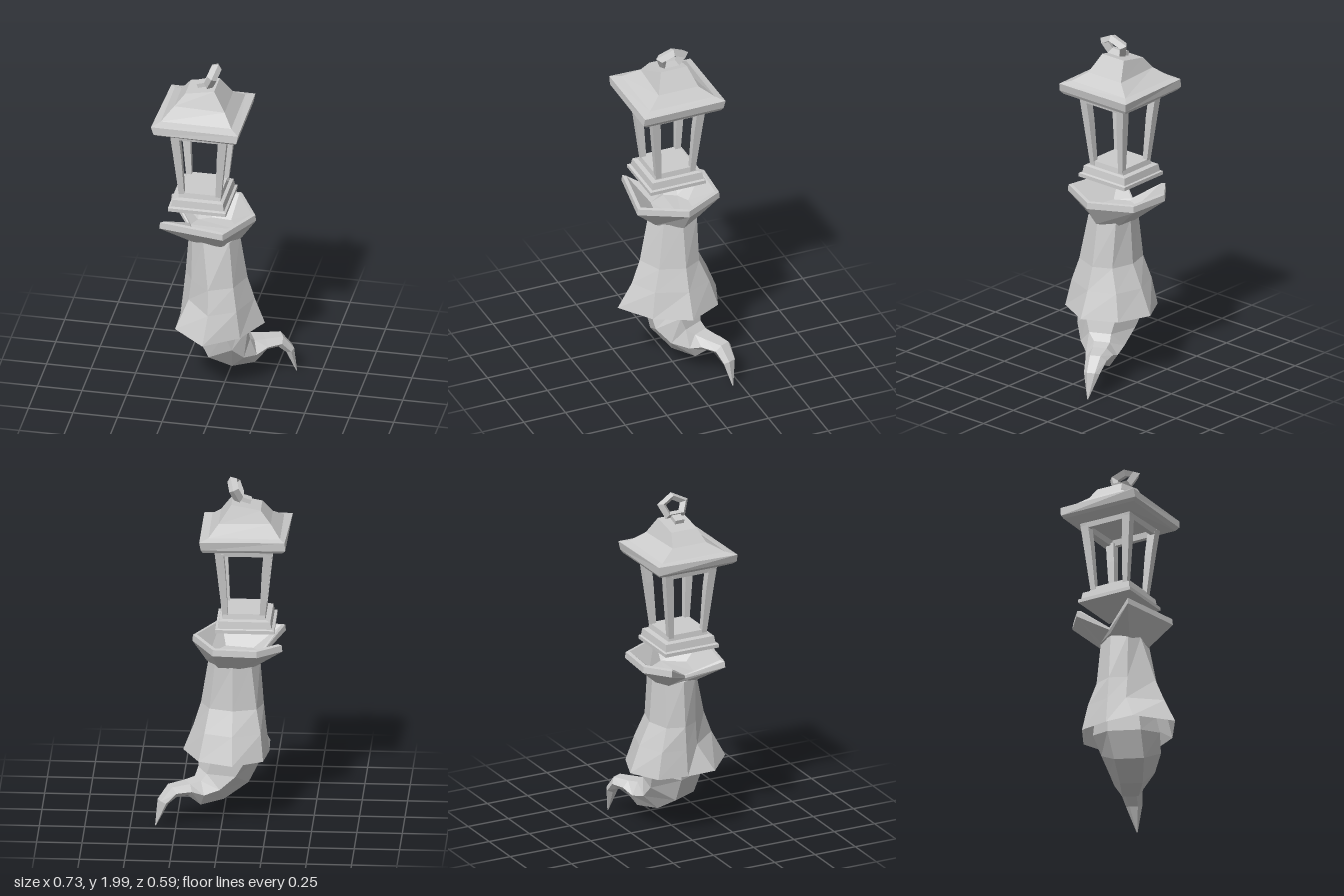
import * as THREE from 'three';

const mat = new THREE.MeshStandardMaterial({ color: 0xcccccc, flatShading: true, side: THREE.DoubleSide });

// Skin a stack of equal-length rings (counter-clockwise seen from above, bottom to top)
function loft(rings, capBottom = true, capTop = true) {
  const n = rings[0].length, pos = [];
  const tri = (a, b, c) => pos.push(...a, ...b, ...c);
  for (let r = 0; r < rings.length - 1; r++) {
    const A = rings[r], B = rings[r + 1];
    for (let i = 0; i < n; i++) {
      const j = (i + 1) % n;
      tri(A[i], A[j], B[j]);
      tri(A[i], B[j], B[i]);
    }
  }
  const first = rings[0], last = rings[rings.length - 1];
  for (let i = 1; i < n - 1; i++) {
    if (capBottom) tri(first[0], first[i + 1], first[i]);
    if (capTop) tri(last[0], last[i], last[i + 1]);
  }
  const g = new THREE.BufferGeometry();
  g.setAttribute('position', new THREE.Float32BufferAttribute(pos, 3));
  g.computeVertexNormals();
  return g;
}

// Rectangular ring; the height may differ between the -x and +x sides
const rect = (x0, x1, z0, z1, yl, yr = yl) =>
  [[x0, yl, z1], [x1, yr, z1], [x1, yr, z0], [x0, yl, z0]];

// Ring from [x, z] pairs at one height
const level = (y, pts) => pts.map(([x, z]) => [x, y, z]);

function add(parent, name, geometry) {
  const m = new THREE.Mesh(geometry, mat);
  m.name = name;
  parent.add(m);
  return m;
}

function buildLantern() {
  const g = new THREE.Group();
  g.name = 'lantern';

  // Stepped base
  add(g, 'lanternBase', loft([
    rect(-0.29, 0.035, -0.187, 0.145, 1.135), rect(-0.29, 0.035, -0.187, 0.145, 1.155),
    rect(-0.275, 0.022, -0.178, 0.13, 1.16), rect(-0.268, 0.015, -0.172, 0.125, 1.2),
    rect(-0.24, -0.003, -0.145, 0.1, 1.205), rect(-0.235, -0.008, -0.14, 0.095, 1.235),
  ]));

  // Four tapering corner posts, wider towards the top
  const cx = -0.12, cz = -0.022;
  for (const sx of [-1, 1]) for (const sz of [-1, 1]) {
    const ring = (out, w, y) => {
      const xs = [cx + sx * out, cx + sx * (out - w)].sort((a, b) => a - b);
      const zs = [cz + sz * out, cz + sz * (out - w)].sort((a, b) => a - b);
      return rect(xs[0], xs[1], zs[0], zs[1], y);
    };
    add(g, 'post', loft([ring(0.117, 0.03, 1.21), ring(0.145, 0.045, 1.48), ring(0.158, 0.048, 1.6)]));
  }

  // Frame bars joining the post tops
  for (const s of [-1, 1]) {
    const z = cz + s * 0.142, x = cx + s * 0.142;
    add(g, 'topBar', loft([
      rect(-0.275, 0.035, z - 0.013, z + 0.013, 1.585), rect(-0.285, 0.045, z - 0.02, z + 0.02, 1.635)]));
    add(g, 'topBar', loft([
      rect(x - 0.013, x + 0.013, -0.177, 0.133, 1.585), rect(x - 0.02, x + 0.02, -0.187, 0.143, 1.635)]));
  }

  // Two-step hipped roof with a thick, slightly uneven eave
  add(g, 'roof', loft([
    rect(-0.29, 0.05, -0.19, 0.15, 1.615, 1.62),
    rect(-0.34, 0.1, -0.25, 0.2, 1.64, 1.632),
    rect(-0.355, 0.11, -0.26, 0.22, 1.655, 1.65),
    [[-0.37, 1.7, 0.218], [0.118, 1.694, 0.215], [0.118, 1.697, -0.268], [-0.352, 1.704, -0.262]],
    rect(-0.325, 0.07, -0.225, 0.165, 1.712, 1.71),
    [[-0.268, 1.765, 0.075], [0.018, 1.765, 0.09], [0.018, 1.765, -0.148], [-0.268, 1.765, -0.132]],
    rect(-0.212, -0.05, -0.11, 0.047, 1.835, 1.865),
  ]));
  return g;
}

function buildHanger() {
  const g = new THREE.Group();
  g.name = 'hanger';
  // Five-sided ring, leaning towards +x
  const ring = new THREE.TorusGeometry(0.073, 0.028, 4, 5);
  ring.rotateZ(Math.PI / 2).rotateY(Math.PI / 2).scale(1, 0.76, 1).rotateZ(-0.4);
  add(g, 'hangingRing', ring).position.set(-0.07, 1.928, -0.025);
  // Small block fixing the ring to the roof
  const link = new THREE.BoxGeometry(0.065, 0.024, 0.055);
  link.rotateZ(0.3);
  add(g, 'link', link).position.set(-0.123, 1.873, -0.028);
  return g;
}

// Flared collar, split open on the -x side
function buildCollar() {
  const split = 4;
  const neck = [[0.09, -0.03], [0.02, -0.14], [-0.1, -0.15], [-0.18, -0.11], [-0.21, -0.03], [-0.17, 0.07], [0, 0.1]];
  const rim = [[0.17, -0.03], [0.045, -0.265], [-0.2, -0.28], [-0.335, -0.17], [-0.22, -0.03], [-0.335, 0.16], [0.035, 0.225]];
  const ring = (pts, y, lowY, shrink = 1) => pts.map(([x, z], i) =>
    [-0.08 + (x + 0.08) * shrink, i === split ? lowY : y, -0.025 + (z + 0.025) * shrink]);
  return loft([
    ring(neck, 0.915, 0.94), ring(rim, 1.03, 0.96), ring(rim, 1.065, 0.975, 0.985),
    ring(rim, 1.068, 0.975, 0.9), ring(neck, 0.96, 0.965, 0.9),
  ]);
}

// Draped cloth flaring to the hem, pinched in above the front left corner
function buildCloth() {
  return loft([
    level(0.39, [[0.22, -0.03], [0.125, -0.22], [-0.065, -0.29], [-0.23, -0.2],
      [-0.255, -0.03], [-0.25, 0.14], [-0.065, 0.3], [0.12, 0.17]]),
    level(0.54, [[0.162, -0.03], [0.095, -0.18], [-0.06, -0.23], [-0.215, -0.17],
      [-0.238, -0.03], [-0.19, 0.06], [-0.05, 0.222], [0.095, 0.145]]),
    level(0.67, [[0.122, -0.03], [0.07, -0.13], [-0.06, -0.168], [-0.19, -0.13],
      [-0.225, -0.03], [-0.175, 0.06], [-0.06, 0.17], [0.07, 0.11]]),
    level(0.93, [[0.08, -0.03], [0.04, -0.13], [-0.06, -0.15], [-0.16, -0.12],
      [-0.205, -0.03], [-0.17, 0.06], [-0.1, 0.1], [0.04, 0.07]]),
  ], false, true);
}

// Curling tail: six-sided sections [x, y, z, half width, half height] along a bent path
function buildTail() {
  const path = [
    [-0.065, 0.48, -0.02, 0.17, 0.14], [-0.055, 0.39, -0.02, 0.185, 0.155], [-0.005, 0.285, -0.02, 0.165, 0.155],
    [0.065, 0.205, -0.055, 0.125, 0.11], [0.135, 0.18, -0.11, 0.09, 0.08], [0.195, 0.208, -0.145, 0.078, 0.038],
    [0.27, 0.205, -0.185, 0.06, 0.038], [0.322, 0.145, -0.2, 0.045, 0.028], [0.362, 0.005, -0.205, 0.003, 0.003],
  ];
  const side = new THREE.Vector3(0.43, 0, 0.9).normalize();
  const centre = path.map(p => new THREE.Vector3(p[0], p[1], p[2]));
  const rings = path.map(([, , , w, h], i) => {
    const t = centre[Math.min(i + 1, path.length - 1)].clone().sub(centre[Math.max(i - 1, 0)]).normalize();
    const up = new THREE.Vector3().crossVectors(t, side).normalize();
    return Array.from({ length: 6 }, (_, k) => {
      const a = (k / 6) * Math.PI * 2;
      return centre[i].clone().addScaledVector(side, w * Math.cos(a)).addScaledVector(up, h * Math.sin(a)).toArray();
    });
  });
  // Reversed so each ring winds outward
  return loft(rings.map(r => r.reverse()).reverse());
}

export function createModel() {
  const model = new THREE.Group();
  model.name = 'floatingLantern';
  model.add(buildLantern(), buildHanger());
  add(model, 'collar', buildCollar());
  add(model, 'cloth', buildCloth());
  add(model, 'tail', buildTail());
  return model;
}
